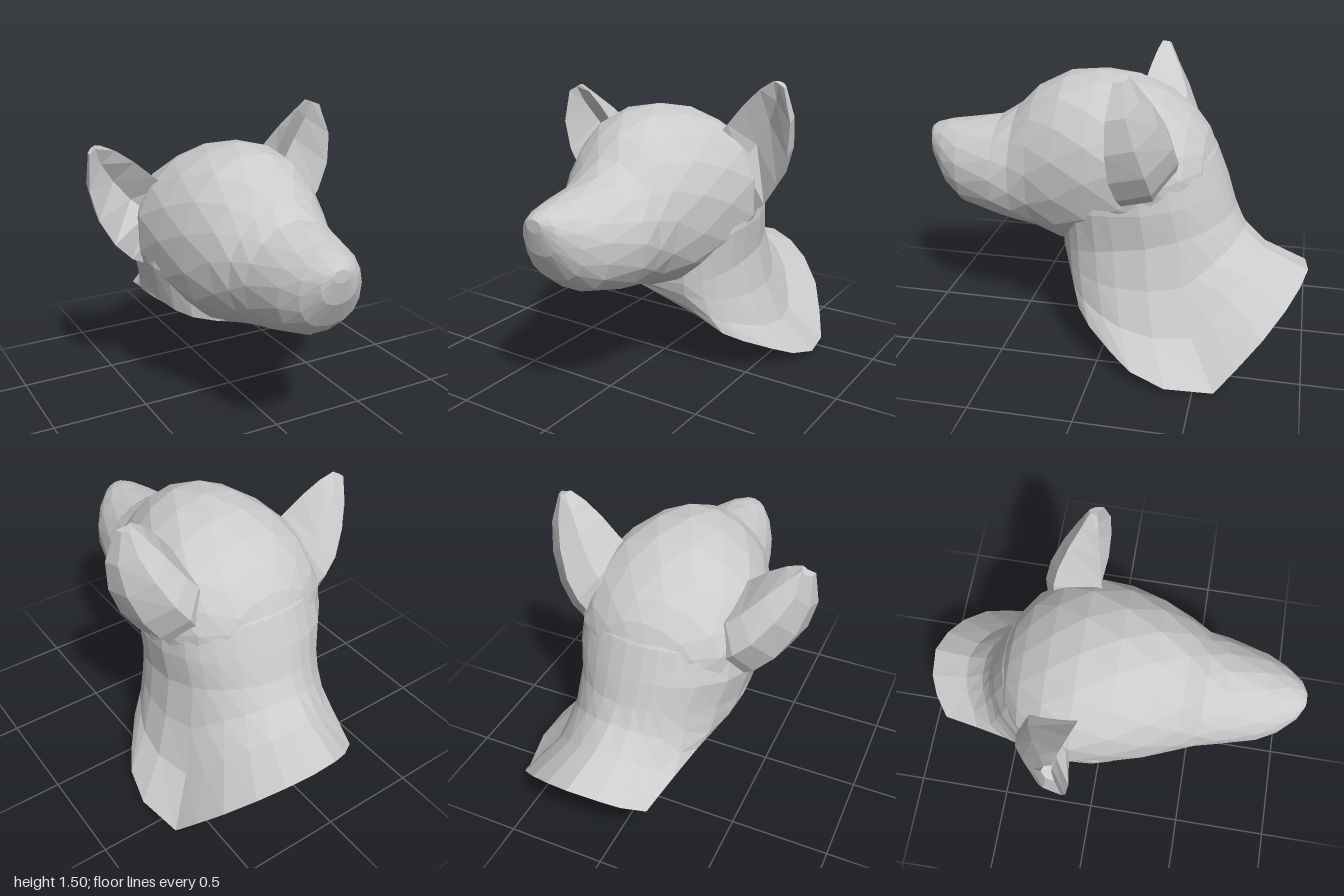
import * as THREE from 'three';

const material = new THREE.MeshStandardMaterial({ color: 0xcccccc, flatShading: true, side: THREE.DoubleSide });
const lerp = THREE.MathUtils.lerp;
// Signed power: exponents below 1 make a round section squarer.
const power = (v, e) => Math.sign(v) * Math.abs(v) ** e;

// Fan a polygon from its centre; flip reverses the facing.
function fan(out, pts, flip) {
  const centre = [0, 1, 2].map(k => pts.reduce((s, p) => s + p[k], 0) / pts.length);
  pts.forEach((p, i) => {
    const q = pts[(i + 1) % pts.length];
    out.push(...centre, ...(flip ? q : p), ...(flip ? p : q));
  });
}

// Join successive closed rings, with optional lists of polygons closing the start.
function loft(name, rings, startCaps = [rings[0]]) {
  const out = [];
  for (let k = 0; k + 1 < rings.length; k++) {
    const n = rings[k].length;
    for (let j = 0; j < n; j++) {
      const a = rings[k][j], b = rings[k][(j + 1) % n];
      const c = rings[k + 1][j], d = rings[k + 1][(j + 1) % n];
      out.push(...a, ...b, ...c, ...b, ...d, ...c);
    }
  }
  startCaps.forEach(cap => fan(out, cap, true));
  fan(out, rings[rings.length - 1], false);
  const geometry = new THREE.BufferGeometry();
  geometry.setAttribute('position', new THREE.Float32BufferAttribute(out, 3));
  geometry.computeVertexNormals();
  const mesh = new THREE.Mesh(geometry, material);
  mesh.name = name;
  return mesh;
}

// Skull and muzzle: sections from nose to nape [z, top, bottom, halfWidth, centreX, socketDepth]
function makeHead() {
  const sections = [
    [1.0, 1.01, 0.95, 0.04, -0.01, 0],
    [0.975, 1.03, 0.84, 0.095, 0, 0],
    [0.9, 1.055, 0.71, 0.165, 0.01, 0],
    [0.8, 1.07, 0.63, 0.22, 0.02, 0],
    [0.6, 1.11, 0.575, 0.275, 0.025, 0.03],
    [0.5, 1.18, 0.55, 0.295, 0.015, 0.06],
    [0.4, 1.27, 0.53, 0.33, 0.005, 0.02],
    [0.25, 1.345, 0.48, 0.39, 0, 0],
    [0.08, 1.365, 0.48, 0.44, 0, 0],
    [-0.1, 1.34, 0.5, 0.468, 0, 0],
    [-0.25, 1.275, 0.55, 0.445, 0, 0],
    [-0.38, 1.18, 0.6, 0.37, 0, 0],
    [-0.46, 1.09, 0.65, 0.27, 0, 0],
    [-0.51, 0.98, 0.75, 0.14, 0, 0],
  ];
  const n = 16;
  const rings = sections.map(([z, top, bottom, w, cx, socket], k) =>
    Array.from({ length: n }, (_, j) => {
      // each ring is turned half a step for a triangulated surface
      const a = ((j + k * 0.5) / n) * Math.PI * 2;
      const s = Math.sin(a), c = Math.cos(a);
      // eye sockets: pull the upper sides inward
      const r = 1 - socket * Math.max(0, Math.abs(Math.sin(2 * a)) * Math.sign(c));
      // fuller jaw below the middle
      const e = c < 0 ? 0.85 : 1;
      return [cx + w * r * power(s, e), (top + bottom) / 2 + ((top - bottom) / 2) * r * power(c, e), z];
    }));
  return loft('head', rings);
}

// Neck: flared outline resting on two slanted cuts, rising into the skull
function makeNeck() {
  const outline = [
    [0.03, 0.12], [0.27, 0.12], [0.42, 0.11], [0.5, 0.04], [0.6, -0.09], [0.67, -0.2], [0.705, -0.37],
    [0.66, -0.6], [0.6, -0.7], [0.52, -0.81], [0.4, -0.905], [0.28, -0.965], [0.15, -1], [0, -0.985],
    [-0.1, -0.945], [-0.2, -0.875], [-0.25, -0.68], [-0.3, -0.5], [-0.35, -0.36], [-0.4, -0.16],
    [-0.36, -0.05], [-0.27, 0.05], [-0.12, 0.1],
  ];
  const base = outline.map(([x, z]) =>
    [x, Math.max(0, 0.408 - 0.444 * x + 0.193 * z, 0.44 - 1.1 * (z + 1)), z]);
  // round at the back, broader across the throat
  const ellipse = (cx, y, cz, rx, rz, tilt) => outline.map(([x, z]) => {
    const a = Math.atan2(x - 0.05, z + 0.3);
    const s = Math.sin(a), c = Math.cos(a), e = c > 0 ? 0.75 : 1;
    return [cx + rx * power(s, e), y - tilt * c, cz + rz * power(c, e)];
  });
  const waist = ellipse(0.015, 0.6, -0.18, 0.425, 0.44, 0.1);
  const flare = (t, ty) => base.map((p, i) => p.map((v, k) => lerp(v, waist[i][k], k === 1 ? ty : t)));
  const rings = [
    base, flare(0.57, 0.3), flare(0.86, 0.65), waist,
    ellipse(0, 0.78, -0.155, 0.455, 0.42, 0.05),
    ellipse(0, 0.94, -0.15, 0.44, 0.36, 0.05),
    ellipse(0, 1.06, -0.14, 0.35, 0.3, 0.02),
  ];
  const bottomCut = [...base.slice(15), ...base.slice(0, 8)];
  return loft('neck', rings, [bottomCut, base.slice(7, 16)]);
}

// Ear: hollow-fronted sections from root to tip, relative to the skull centre
function makeEar(name, side, turn) {
  const pivotY = 0.92;
  // [inner rim xyz, outer rim xyz, hollow z, back z]
  const sections = [
    [[0.25, 1.12, -0.09], [0.43, 0.81, -0.12], -0.11, -0.35],
    [[0.27, 1.21, -0.06], [0.52, 0.885, -0.1], -0.13, -0.37],
    [[0.32, 1.27, -0.07], [0.595, 1.0, -0.08], -0.18, -0.35],
    [[0.395, 1.37, -0.09], [0.645, 1.15, -0.075], -0.18, -0.29],
    [[0.47, 1.45, -0.11], [0.652, 1.31, -0.08], -0.15, -0.22],
    [[0.535, 1.495, -0.125], [0.6, 1.47, -0.105], -0.125, -0.17],
  ];
  const rings = sections.map(([inner, outer, hollowZ, backZ]) => {
    const at = (t, z) => [lerp(inner[0], outer[0], t), lerp(inner[1], outer[1], t), z];
    const back = (t, depth) => at(t, lerp(lerp(inner[2], outer[2], t), backZ, depth));
    const ring = [inner, at(0.4, hollowZ), outer, back(0.9, 0.6), back(0.5, 1), back(0.15, 0.8)]
      .map(([x, y, z]) => [x * side, y - pivotY, z]);
    return side < 0 ? ring.reverse() : ring;
  });
  const ear = loft(name, rings);
  ear.position.y = pivotY;
  ear.rotation.z = turn;
  return ear;
}

export function createModel() {
  const group = new THREE.Group();
  group.name = 'animalHead';
  group.add(makeHead(), makeNeck(), makeEar('leftEar', 1, 0), makeEar('rightEar', -1, 0.2));
  return group;
}
